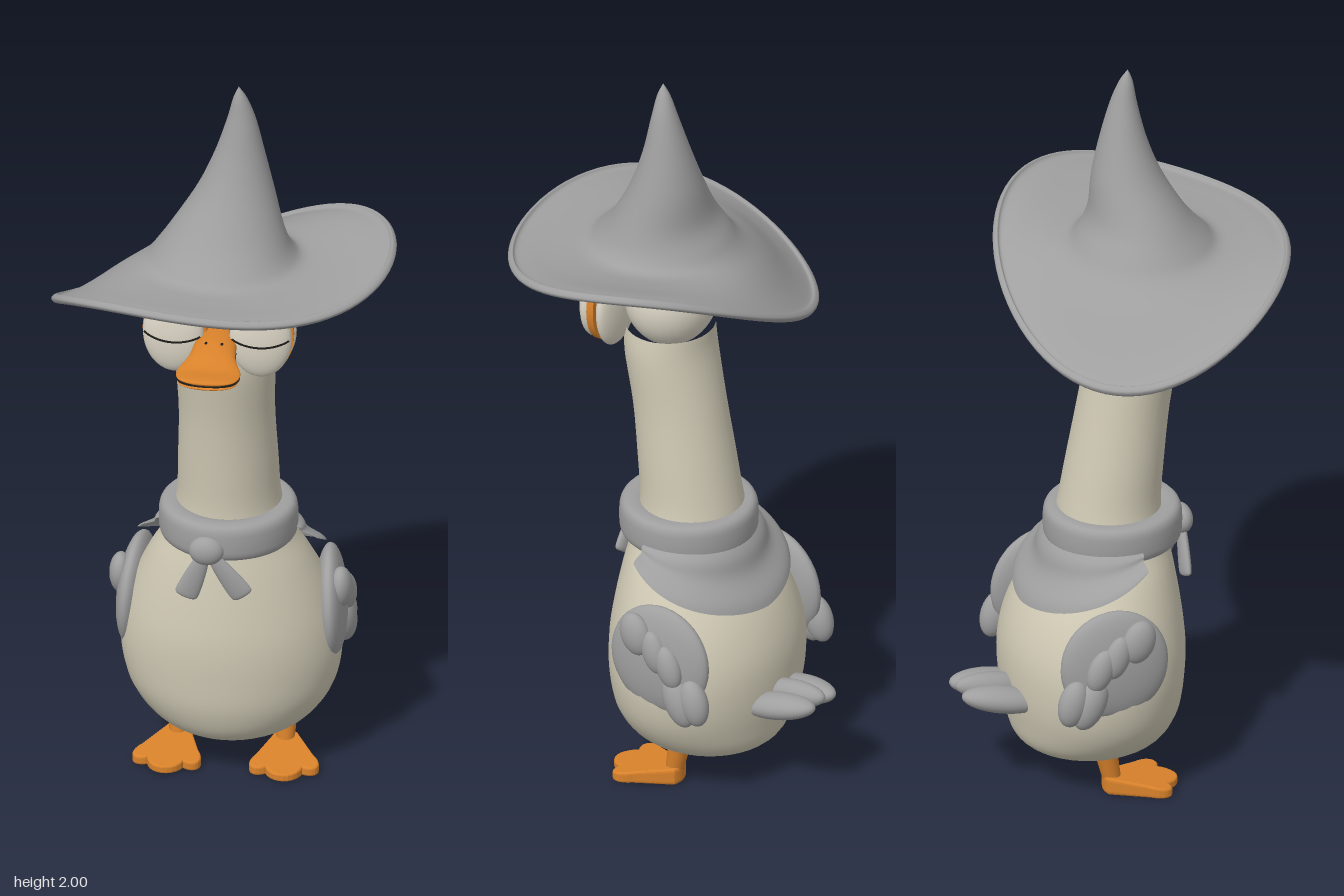
import * as THREE from 'three';

const mat = (name, color, side = THREE.FrontSide) => {
  const m = new THREE.MeshStandardMaterial({ color, side });
  m.name = name;
  return m;
};

// Grid surface from fn(i, j); columns can wrap around
function grid(rows, cols, fn, wrap = true) {
  const pos = [], idx = [], w = wrap ? cols : cols + 1;
  for (let i = 0; i <= rows; i++) for (let j = 0; j < w; j++) pos.push(...fn(i / rows, j / cols));
  for (let i = 0; i < rows; i++) for (let j = 0; j < cols; j++) {
    const k = (j + 1) % w, a = i * w + j, b = a + w, c = i * w + k, d = c + w;
    idx.push(a, b, c, b, d, c);
  }
  const g = new THREE.BufferGeometry();
  g.setAttribute('position', new THREE.Float32BufferAttribute(pos, 3));
  g.setIndex(idx);
  g.computeVertexNormals();
  return g;
}

// Smooth interpolation through rows of numbers
function sample(rows, t) {
  const n = rows.length - 1, s = t * n, i = Math.min(Math.floor(s), n - 1), f = s - i;
  const at = k => rows[Math.max(0, Math.min(n, k))];
  return rows[0].map((_, c) => {
    const [a, b, d, e] = [at(i - 1)[c], at(i)[c], at(i + 1)[c], at(i + 2)[c]];
    return b + 0.5 * f * (d - a + f * (2 * a - 5 * b + 4 * d - e + f * (3 * (b - d) + e - a)));
  });
}

// Elliptical loft, rows: [y, centreX, centreZ, radiusX, radiusZ]
const loft = (rows, steps = 5, sides = 40) => grid((rows.length - 1) * steps, sides, (u, v) => {
  const [y, cx, cz, rx, rz] = sample(rows, u), a = v * Math.PI * 2;
  return [cx + Math.max(rx, 0) * Math.cos(a), y, cz + Math.max(rz, 0) * Math.sin(a)];
});

export function createModel() {
  const cream = mat('cream plumage', 0xcfc9b4);
  const pale = mat('pale head', 0xdcd6c6);
  const grey = mat('grey', 0x9e9f9e);
  const cloth = mat('grey cloth', 0x9e9f9e, THREE.DoubleSide);
  const orange = mat('orange', 0xd9822b);
  const dark = mat('dark line', 0x1c1a18);

  const model = new THREE.Group();
  const add = (name, geo, m, p = [0, 0, 0], r = [0, 0, 0], parent = model) => {
    const mesh = new THREE.Mesh(geo, m);
    mesh.name = name;
    mesh.position.set(...p);
    mesh.rotation.set(...r);
    parent.add(mesh);
    return mesh;
  };
  const ball = (name, p, s, m, r, parent) => {
    const mesh = add(name, new THREE.SphereGeometry(1, 32, 20), m, p, r, parent);
    mesh.scale.set(...s);
    return mesh;
  };

  // Body with long leaning neck
  add('bodyAndNeck', loft([
    [0.075, 0, -0.08, 0, 0], [0.082, 0, -0.08, 0.1, 0.11], [0.12, 0, -0.08, 0.195, 0.19],
    [0.2, 0, -0.073, 0.26, 0.222], [0.3, 0, -0.073, 0.287, 0.235], [0.4, 0, -0.07, 0.283, 0.235],
    [0.5, 0, -0.06, 0.255, 0.215], [0.6, 0, -0.04, 0.21, 0.18], [0.68, 0, -0.025, 0.165, 0.15],
    [0.77, 0, -0.022, 0.137, 0.135], [0.9, 0, -0.005, 0.13, 0.127], [1.05, 0, 0.018, 0.125, 0.12],
    [1.2, 0, 0.045, 0.13, 0.117], [1.27, 0, 0.047, 0.122, 0.115],
  ]), cream);
  ball('head', [0, 1.36, 0.045], [0.13, 0.145, 0.122], pale);

  // Hat: underside, wavy brim with rolled edge, bent cone
  const edge = a => 1.453 + 0.095 * Math.cos(a) + 0.055 * Math.sin(a) - 0.059 * Math.sin(2 * a);
  // [centreX, centreZ, radiusX, radiusZ, y, share of brim wave, lift]
  const hat = [
    [0, 0.07, 0, 0, 1.475, 0, 0], [0, 0.07, 0.17, 0.16, 1.475, 0, 0],
    [0, 0.07, 0.3, 0.265, 1.48, 0.4, -0.008], [0, 0.07, 0.4, 0.335, 1.49, 0.82, -0.01],
    [0, 0.07, 0.435, 0.36, 1.5, 1, -0.014], [0, 0.07, 0.449, 0.375, 1.5, 1, 0],
    [0, 0.07, 0.437, 0.364, 1.5, 1, 0.013], [0, 0.07, 0.425, 0.353, 1.5, 0.96, 0.003],
    [0, 0.07, 0.37, 0.315, 1.5, 0.75, 0.004], [0, 0.07, 0.29, 0.255, 1.505, 0.36, 0.002],
    [0, 0.07, 0.215, 0.2, 1.512, 0.08, 0], [0, 0.068, 0.18, 0.168, 1.54, 0, 0],
    [0.008, 0.06, 0.147, 0.127, 1.6, 0, 0], [0.026, 0.039, 0.101, 0.092, 1.7, 0, 0],
    [0.036, 0.032, 0.066, 0.062, 1.8, 0, 0], [0.041, 0.035, 0.038, 0.036, 1.9, 0, 0],
    [0.038, 0.041, 0.018, 0.018, 1.965, 0, 0], [0.035, 0.045, 0, 0, 2, 0, 0],
  ];
  add('hat', grid((hat.length - 1) * 5, 80, (u, v) => {
    const [cx, cz, rx, rz, y, w, lift] = sample(hat, u), a = v * Math.PI * 2;
    return [cx + Math.max(rx, 0) * Math.cos(a), y + w * (edge(a) - y) + lift, cz + Math.max(rz, 0) * Math.sin(a)];
  }), grey);

  // Beak: lofted forward, flattened, with a dark mouth line
  const bill = (y0, y1, h0, h1, k) => loft([
    [0.13, 0, -y0, 0.045 * k, h0], [0.22, 0, -y0, 0.055 * k, h0],
    [0.28, 0, -(y0 * 0.6 + y1 * 0.4), 0.062 * k, h0 * 0.7 + h1 * 0.3],
    [0.34, 0, -y1, 0.083 * k, h1], [0.385, 0, -y1, 0.075 * k, h1 * 0.9],
    [0.405, 0, -y1, 0.045 * k, h1 * 0.7], [0.411, 0, -y1, 0, 0],
  ]).rotateX(Math.PI / 2);
  add('upperBill', bill(1.329, 1.314, 0.026, 0.009, 1), orange);
  add('mouthLine', bill(1.309, 1.306, 0.003, 0.002, 0.99), dark);
  add('lowerBill', bill(1.302, 1.3, 0.007, 0.006, 0.97), orange);

  // Feet outline: three scalloped toes
  const foot = new THREE.Shape();
  foot.moveTo(-0.025, 0.004);
  foot.quadraticCurveTo(0, -0.008, 0.025, 0.004);
  foot.lineTo(0.07, 0.1);
  foot.bezierCurveTo(0.1, 0.14, 0.08, 0.168, 0.045, 0.145);
  foot.bezierCurveTo(0.03, 0.2, -0.03, 0.2, -0.045, 0.145);
  foot.bezierCurveTo(-0.08, 0.168, -0.1, 0.14, -0.07, 0.1);
  foot.closePath();
  const footGeo = new THREE.ExtrudeGeometry(foot, {
    depth: 0.012, bevelThickness: 0.005, bevelSize: 0.006, bevelSegments: 3, curveSegments: 10,
  }).rotateX(Math.PI / 2).translate(0, 0.017, 0);
  const fp = footGeo.attributes.position;
  for (let i = 0; i < fp.count; i++) {
    const heel = Math.max(0, 1 - fp.getZ(i) / 0.18);
    fp.setY(i, fp.getY(i) * (1 + 1.2 * heel));
  }
  footGeo.computeVertexNormals();

  for (const s of [1, -1]) {
    const side = s > 0 ? 'left' : 'right';

    // Closed eye: cup, orange rim, lid, lash line lying on the lid
    const eye = new THREE.Group();
    eye.name = side + 'Eye';
    eye.position.set(s * 0.11, 1.345, 0.14);
    eye.rotation.y = s * 0.08;
    model.add(eye);
    ball('eyeCup', [0, 0, 0], [0.09, 0.12, 0.028], pale, [0, 0, 0], eye);
    const rim = add('eyeRim', new THREE.CylinderGeometry(1, 1, 1, 40), orange, [0, 0, 0.029], [Math.PI / 2, 0, 0], eye);
    rim.scale.set(0.085, 0.02, 0.112);
    ball('eyelid', [0, 0, 0.053], [0.081, 0.11, 0.032], pale, [0, 0, 0], eye);
    const lash = [];
    for (let i = -6; i <= 6; i++) {
      const x = i / 6 * 0.074, y = -0.012 + 0.014 * (i / 6) ** 2;
      lash.push(new THREE.Vector3(x, y, 0.053 + 0.032 * Math.sqrt(Math.max(0, 1 - (x / 0.081) ** 2 - (y / 0.11) ** 2))));
    }
    add('lashLine', new THREE.TubeGeometry(new THREE.CatmullRomCurve3(lash), 30, 0.003, 6), dark, [0, 0, 0], [0, 0, 0], eye);
    ball(side + 'Nostril', [s * 0.02, 1.348, 0.245], [0.005, 0.003, 0.009], dark);

    // Wing with overlapping feather lobes
    const wing = new THREE.Group();
    wing.name = side + 'Wing';
    wing.scale.x = s;
    model.add(wing);
    ball('wingBase', [0.255, 0.43, -0.11], [0.042, 0.152, 0.145], grey, [0, 0.1, 0.04], wing);
    for (const [x, y, z, rx, ry, rz, tilt] of [
      [0.288, 0.5, -0.055, 0.03, 0.06, 0.045, 0.3], [0.287, 0.465, -0.115, 0.027, 0.06, 0.035, 0.3],
      [0.287, 0.435, -0.16, 0.027, 0.06, 0.035, 0.35], [0.277, 0.34, -0.185, 0.034, 0.075, 0.042, 0.4],
      [0.27, 0.345, -0.23, 0.034, 0.065, 0.04, 0.25],
    ]) ball('wingFeather', [x, y, z], [rx, ry, rz], grey, [tilt, 0, 0], wing);

    // Leg and webbed foot
    add(side + 'Leg', new THREE.CylinderGeometry(0.03, 0.023, 0.1, 20), orange, [s * 0.14, 0.07, -0.078], [-0.2, 0, 0]);
    add(side + 'Foot', footGeo, orange, [s * 0.14, 0, -0.088], [0, s * 0.1, 0]);

    ball(side + 'TailFeather', [s * 0.055, 0.275, -0.34], [0.046, 0.035, 0.112], grey, [0.2, s * 0.12, 0]);
  }
  ball('middleTailFeather', [0, 0.288, -0.34], [0.035, 0.038, 0.112], grey, [0.2, 0, 0]);

  // Neckerchief: rounded band, knot, two tails and a draped back
  add('scarfBand', grid(64, 24, (u, v) => {
    const a = -u * Math.PI * 2, b = v * Math.PI * 2;
    const pow = t => Math.sign(t) * Math.abs(t) ** 0.6;
    const r = 0.147 + 0.034 * pow(Math.cos(b));
    return [r * Math.cos(a), 0.715 + 0.052 * pow(Math.sin(b)), -0.012 + r * Math.sin(a)];
  }), cloth);
  ball('scarfKnot', [-0.032, 0.697, 0.165], [0.046, 0.04, 0.03], grey);
  const tail = loft([
    [-0.145, 0, 0, 0, 0], [-0.143, 0, 0, 0.025, 0.009], [-0.125, 0, 0, 0.031, 0.013],
    [-0.06, 0, 0, 0.025, 0.013], [0, 0, 0, 0.014, 0.01],
  ]);
  add('scarfTailRight', tail, cloth, [-0.035, 0.69, 0.165], [0.06, 0, -0.38]);
  add('scarfTailLeft', tail, cloth, [-0.02, 0.685, 0.165], [0.06, 0, 0.62]);
  add('scarfDrape', grid(14, 48, (v, u) => {
    const k = u * 2 - 1, a = -Math.PI / 2 + k * 1.7;
    const drop = v * (0.035 + 0.14 * (1 - Math.abs(k) ** 1.5));
    const fold = 0.006 * Math.sin(v * 9);
    const rx = 0.172 + drop * 0.5 + 0.04 * v + fold, rz = 0.16 + drop * 0.3 + fold;
    return [rx * Math.cos(a), 0.7 - drop, -0.02 - 0.2 * drop + rz * Math.sin(a)];
  }, false), cloth);

  return model;
}
